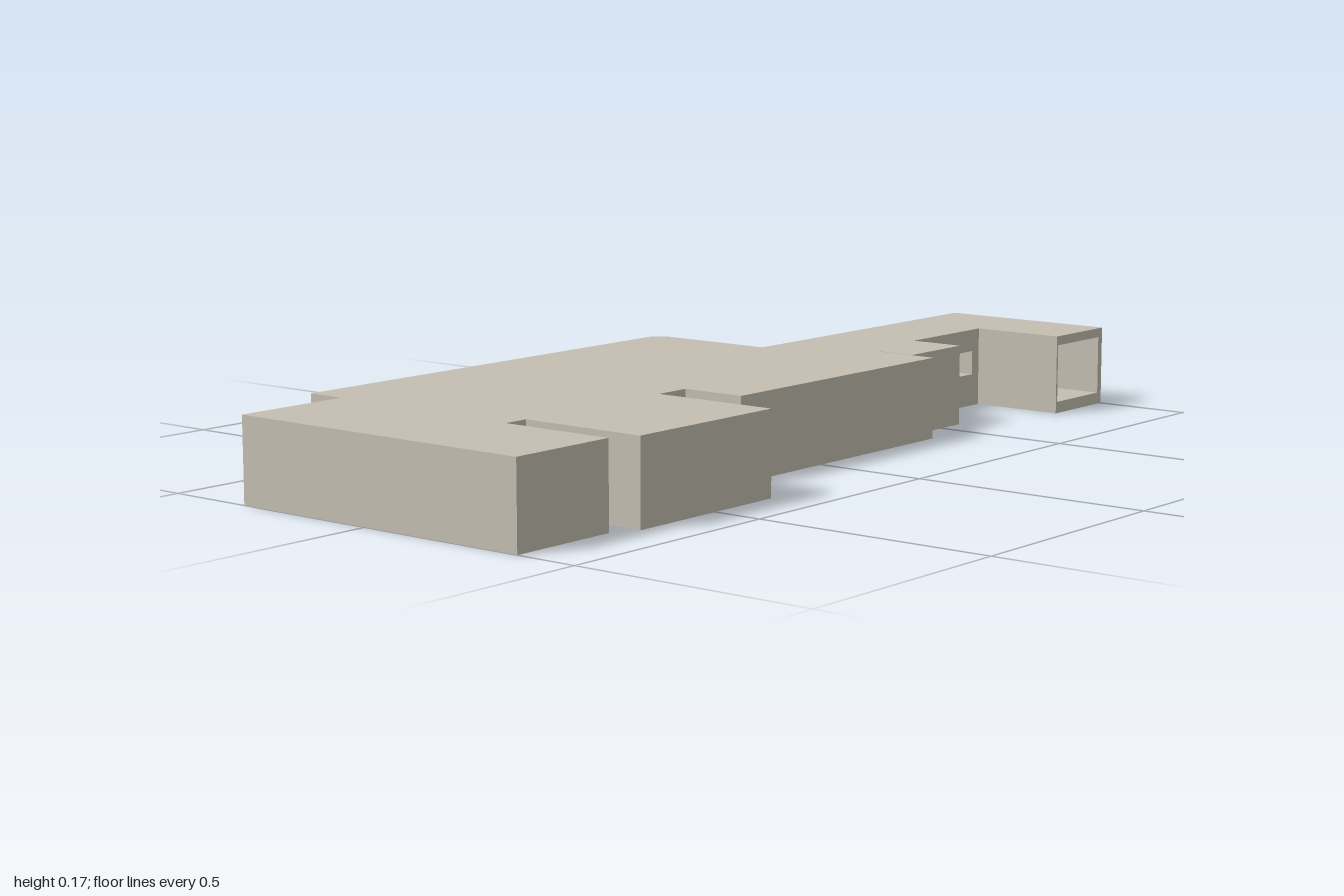
import * as THREE from 'three';

const H = 0.17;

export function createModel() {
  const model = new THREE.Group();
  model.name = 'building';
  const stone = new THREE.MeshStandardMaterial({ color: 0xc4beb1 });
  stone.name = 'warm grey';

  const add = (name, geometry) => {
    const mesh = new THREE.Mesh(geometry, stone);
    mesh.name = name;
    model.add(mesh);
  };

  // Front-facing block from z0 to z1, hollowed by rectangular openings [x0, x1, y0, y1]
  const rect = (Type, x0, x1, y0, y1) => new Type([
    new THREE.Vector2(x0, y0), new THREE.Vector2(x1, y0),
    new THREE.Vector2(x1, y1), new THREE.Vector2(x0, y1),
  ]);
  const hollowBlock = (name, x0, x1, z0, z1, openings) => {
    const shape = rect(THREE.Shape, x0, x1, 0, H);
    openings.forEach((o) => shape.holes.push(rect(THREE.Path, ...o)));
    const geometry = new THREE.ExtrudeGeometry(shape, { depth: z1 - z0, bevelEnabled: false });
    geometry.translate(0, 0, z0);
    add(name, geometry);
  };

  // Main floor plan as (x, z) corners, with alcoves, slit and chamfered back corner
  const plan = [
    [-1, -0.315], [-0.75, -0.315], [-0.75, -0.398], [0.255, -0.398], [0.28, -0.372],
    [0.28, -0.107], [1, -0.107], [1, -0.085], [0.565, -0.085], [0.565, 0.205],
    [0.39, 0.205], [0.39, 0.12], [0.385, 0.12], [0.385, 0.262], [-0.255, 0.262],
    [-0.255, 0.125], [-0.335, 0.125], [-0.335, 0.398], [-0.71, 0.398], [-0.71, 0.125],
    [-0.763, 0.125], [-0.763, 0.37], [-1, 0.37],
  ];
  const outline = new THREE.Shape(plan.map(([x, z]) => new THREE.Vector2(x, -z)));
  const body = new THREE.ExtrudeGeometry(outline, { depth: H, bevelEnabled: false });
  body.rotateX(-Math.PI / 2);
  add('mainBody', body);

  // Connecting wing with three window openings
  hollowBlock('windowWing', 0.565, 0.815, -0.085, 0.085, [
    [0.58, 0.657, 0.07, 0.122], [0.663, 0.712, 0.07, 0.122], [0.718, 0.79, 0.07, 0.122],
  ]);

  // End wing with one large opening
  hollowBlock('endWing', 0.815, 1, -0.085, 0.29, [[0.82, 0.985, 0.025, 0.15]]);

  return model;
}
